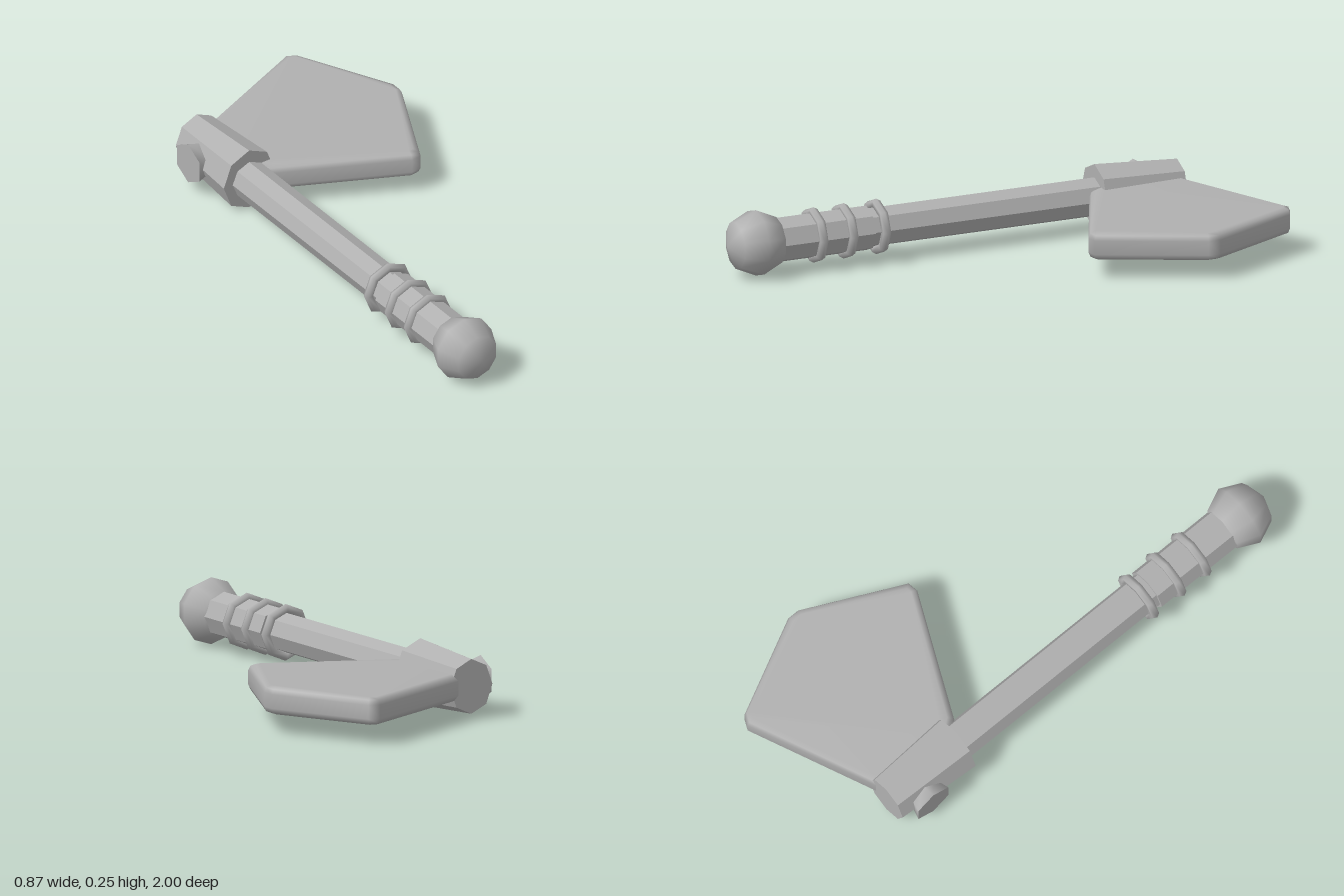
import * as THREE from 'three';
import { mergeVertices, toCreasedNormals } from 'three/addons/utils/BufferGeometryUtils.js';

const AXIS_X = -0.317, AXIS_Y = 0.127;

export function createModel() {
  const model = new THREE.Group();
  model.name = 'axe';
  const steel = new THREE.MeshStandardMaterial({ color: 0xb0b0b0 });
  steel.name = 'grey';

  const add = (name, geometry, x, y, z) => {
    const mesh = new THREE.Mesh(geometry, steel);
    mesh.name = name;
    mesh.position.set(x, y, z);
    model.add(mesh);
    return mesh;
  };

  // Octagonal bar along z with sharp edges and a corner pointing up
  const bar = (name, frontR, backR, zFront, zBack, widthScale = 1) => {
    const g = new THREE.CylinderGeometry(frontR, backR, zFront - zBack, 8);
    g.rotateX(Math.PI / 2);
    g.scale(widthScale, 1, 1);
    add(name, toCreasedNormals(g, 0.4), AXIS_X, AXIS_Y, (zFront + zBack) / 2);
  };
  bar('shaft', 0.073, 0.073, 0.5, -0.6);
  bar('grip', 0.084, 0.084, 0.85, 0.44);
  bar('headSocket', 0.123, 0.101, -0.47, -0.8, 0.91);

  // Grip rings
  for (const z of [0.4, 0.53, 0.65]) {
    add('gripRing', new THREE.TorusGeometry(0.087, 0.018, 6, 8), AXIS_X, AXIS_Y, z);
  }

  // Pommel ball
  const ball = new THREE.SphereGeometry(0.1235, 10, 4, Math.PI / 2);
  ball.rotateX(Math.PI / 2);
  ball.scale(1, 1, 0.93);
  add('pommel', ball, AXIS_X, AXIS_Y, 0.88);

  // Six-sided stud on the back of the head, flaring outward
  const stud = new THREE.CylinderGeometry(0.082, 0.064, 0.06, 6, 1, false, Math.PI / 6);
  stud.rotateZ(Math.PI / 2);
  add('backStud', toCreasedNormals(stud, 1.1), -0.409, AXIS_Y, -0.68);

  // Blade: bevelled plate with slightly clipped corners, softly shaded
  const bevel = 0.025;
  const outline = [
    [-0.28, -0.765], [0.217, -0.975], [0.238, -0.965], [0.41, -0.618],
    [0.41, -0.582], [0.238, -0.228], [0.217, -0.225], [-0.235, -0.44], [-0.28, -0.5],
  ];
  // The shape is drawn with y = -z, then laid flat
  const shape = new THREE.Shape(outline.map(([x, z]) => new THREE.Vector2(x, -z)).reverse());
  let blade = new THREE.ExtrudeGeometry(shape, {
    depth: 0.102 - 2 * bevel, bevelEnabled: true, bevelSize: bevel,
    bevelThickness: bevel, bevelSegments: 2,
  });
  blade.rotateX(-Math.PI / 2);
  blade.deleteAttribute('normal');
  blade.deleteAttribute('uv');
  blade = mergeVertices(blade, 1e-4);
  blade.clearGroups();
  blade.computeVertexNormals();
  add('blade', blade, 0, 0.075 + bevel, 0);

  return model;
}
